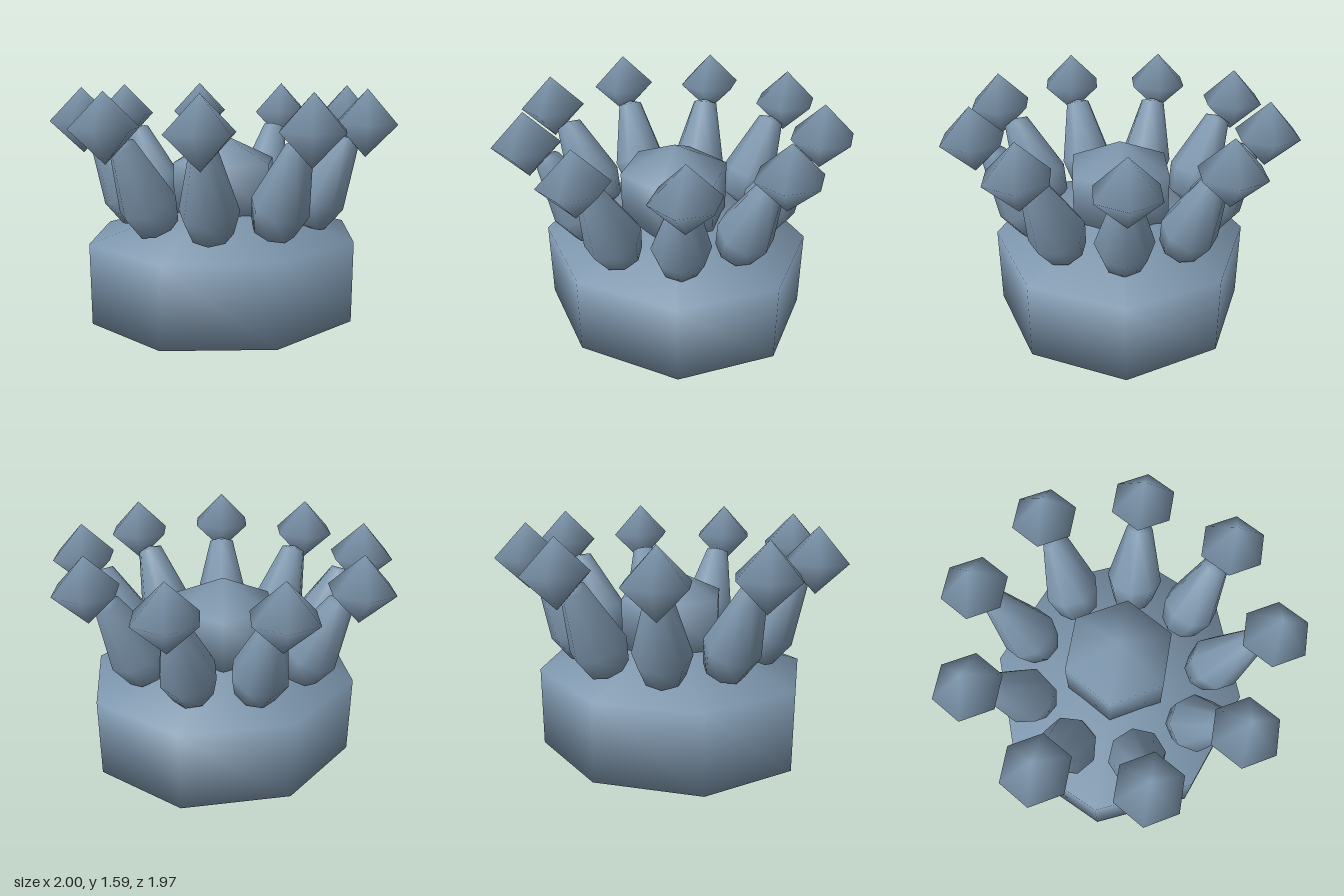
import * as THREE from 'three';

export function createModel() {
  const model = new THREE.Group();
  const slateBlue = new THREE.MeshStandardMaterial({ color: 0x7d96ad });
  slateBlue.name = 'slateBlue';

  // Low-poly ellipsoid, placed by its centre
  function blob(name, sides, rings, rx, ry, rz, x, y, z, parent) {
    const geometry = new THREE.SphereGeometry(1, sides, rings).scale(rx, ry, rz);
    const mesh = new THREE.Mesh(geometry, slateBlue);
    mesh.name = name;
    mesh.position.set(x, y, z);
    parent.add(mesh);
    return mesh;
  }

  const cx = -0.03; // axis of the crown of stalks

  // Wide body and the dome in its middle
  blob('body', 8, 3, 0.958, 0.48, 0.872, cx, 0.485, 0, model);
  blob('dome', 6, 3, 0.37, 0.3, 0.37, cx, 1.015, 0, model);

  // Stalk profile: rounded foot, swollen middle, narrow neck
  const profile = [
    [0, -0.2], [0.123, -0.155], [0.165, 0], [0.075, 0.365], [0, 0.385],
  ].map(([r, y]) => new THREE.Vector2(r, y));
  const stalkGeometry = new THREE.LatheGeometry(profile, 8);

  // Ring of nine stalks leaning outward, each with a faceted tip
  const count = 9;
  for (let i = 0; i < count; i++) {
    const angle = (i / count) * Math.PI * 2;
    const arm = new THREE.Group();
    arm.name = `arm${i + 1}`;
    arm.position.x = cx;

    const pivot = new THREE.Group();
    pivot.name = 'stalkPivot';
    pivot.rotation.y = -angle;
    const stalk = new THREE.Mesh(stalkGeometry, slateBlue);
    stalk.name = 'stalk';
    stalk.position.set(0.57, 0.975, 0);
    stalk.rotation.z = -0.44;
    pivot.add(stalk);
    arm.add(pivot);

    const reach = 0.833;
    blob('tip', 6, 2, 0.19, 0.19, 0.19,
      Math.cos(angle) * reach, 1.405, Math.sin(angle) * reach, arm);
    model.add(arm);
  }

  return model;
}
